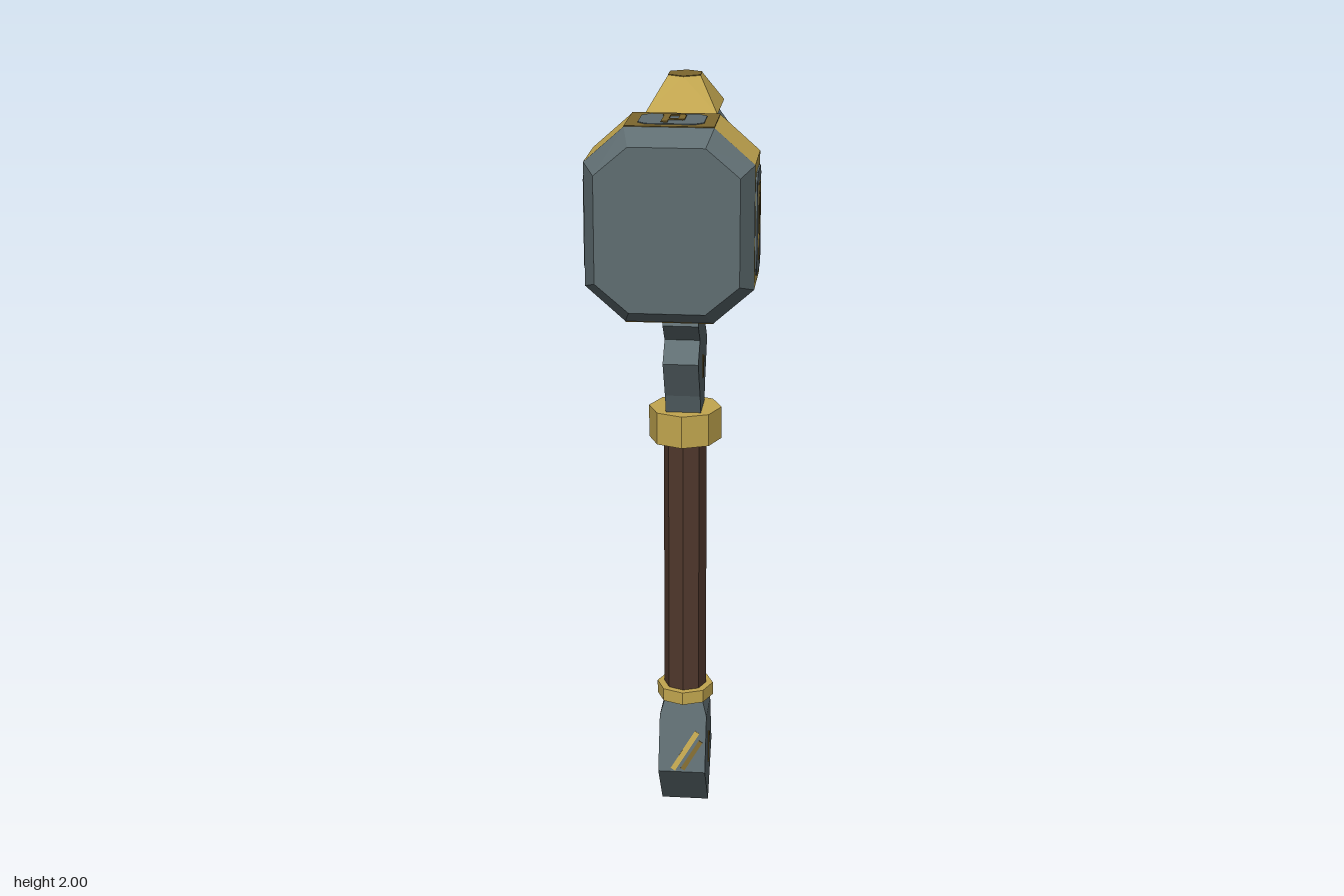
import * as THREE from 'three';
import { ConvexGeometry } from 'three/addons/geometries/ConvexGeometry.js';

const AXIS = -0.02; // z of the handle axis

export function createModel() {
  const mat = (name, color) => Object.assign(new THREE.MeshStandardMaterial({ color }), { name });
  const steel = mat('steel', 0x5f6d71);
  const gold = mat('gold', 0xc2a64f);
  const darkGold = mat('dark gold', 0x7d672f);
  const wood = mat('dark wood', 0x50382c);

  const model = new THREE.Group();
  model.name = 'warHammer';

  // Faceted mesh: every face keeps its own normal
  function add(name, geometry, material, parent = model) {
    const geo = geometry.index ? geometry.toNonIndexed() : geometry;
    geo.computeVertexNormals();
    const mesh = new THREE.Mesh(geo, material);
    mesh.name = name;
    parent.add(mesh);
    return mesh;
  }
  function box(name, w, h, d, x, y, z, material, parent) {
    const m = add(name, new THREE.BoxGeometry(w, h, d), material, parent);
    m.position.set(x, y, z);
    return m;
  }
  // Skin over equal rings (counter-clockwise seen from +z), listed front to back
  function loft(rings) {
    const n = rings[0].length, index = [];
    const last = (rings.length - 1) * n;
    for (let r = 0; r < rings.length - 1; r++) {
      for (let i = 0; i < n; i++) {
        const a = r * n + i, a2 = r * n + (i + 1) % n;
        index.push(a, a + n, a2, a2, a + n, a2 + n);
      }
    }
    for (let i = 1; i < n - 1; i++) {
      index.push(0, i, i + 1, last, last + i + 1, last + i);
    }
    const geo = new THREE.BufferGeometry();
    geo.setAttribute('position', new THREE.Float32BufferAttribute(rings.flat(2), 3));
    geo.setIndex(index);
    return geo;
  }
  // Side outline of [z, y] points given thickness along x
  function slab(points, width) {
    const shape = new THREE.Shape(points.map(([z, y]) => new THREE.Vector2(z, y)));
    const geo = new THREE.ExtrudeGeometry(shape, { depth: width, bevelEnabled: false });
    return geo.translate(0, 0, -width / 2).rotateY(-Math.PI / 2);
  }
  const convex = pts => new ConvexGeometry(pts.map(p => new THREE.Vector3(...p)));

  // Handle and its octagonal collars
  for (const [name, r, y0, y1, material] of [
    ['handle', 0.056, 0.34, 1.08, wood],
    ['lowerCollar', 0.075, 0.32, 0.355, gold],
    ['upperCollar', 0.094, 1.055, 1.14, gold],
  ]) {
    add(name, new THREE.CylinderGeometry(r, r, y1 - y0, 8), material)
      .position.set(0, (y0 + y1) / 2, AXIS);
  }

  // Wedge-shaped pommel
  const pommel = [];
  for (const [x, y, z] of [[0.05, 0.325, 0.045], [0.063, 0.28, 0.06], [0.063, 0.135, 0.105], [0.063, 0, 0]]) {
    for (const sx of [-1, 1]) for (const sz of [-1, 1]) pommel.push([sx * x, y, AXIS + sz * z]);
  }
  add('pommel', convex(pommel), steel);
  for (const turn of [0, Math.PI]) {
    const mark = new THREE.Group();
    mark.name = 'pommelMark';
    mark.position.set(0, 0, AXIS);
    mark.rotation.y = turn;
    const slope = new THREE.Group();
    slope.position.set(0.008, 0.19, 0.088);
    slope.rotation.x = -0.29;
    mark.add(slope);
    box('pommelStripe', 0.014, 0.12, 0.006, 0, 0, 0, gold, slope).rotation.z = -0.55;
    box('pommelStripeShade', 0.012, 0.09, 0.006, 0.018, -0.012, 0, darkGold, slope).rotation.z = -0.55;
    model.add(mark);
  }

  // Notched neck, mirrored about the handle axis
  const half = [[0.05, 1.13], [0.073, 1.19], [0.128, 1.29], [0.077, 1.34], [0.128, 1.39], [0.07, 1.48], [0.1, 1.58]];
  const outline = [
    ...half.map(([z, y]) => [AXIS + z, y]),
    ...half.map(([z, y]) => [AXIS - z, y]).reverse(),
  ];
  add('neck', slab(outline, 0.09), steel);

  // Head body and beak: [top w,y,z, middle w,y,z, bottom w,y,z]
  const sections = [
    [0.06, 1.83, 0.16, 0.075, 1.80, 0.16, 0.06, 1.59, 0.16],
    [0.07, 1.85, 0.10, 0.10, 1.815, 0.10, 0.085, 1.567, 0.10],
    [0.065, 1.92, 0.05, 0.14, 1.82, 0.035, 0.10, 1.565, 0.06],
    [0.065, 1.92, -0.085, 0.14, 1.82, -0.075, 0.10, 1.565, -0.10],
    [0.065, 1.85, -0.15, 0.10, 1.81, -0.15, 0.085, 1.567, -0.15],
    [0.045, 1.815, -0.26, 0.06, 1.79, -0.26, 0.05, 1.655, -0.26],
    [0.025, 1.755, -0.41, 0.025, 1.73, -0.402, 0.025, 1.64, -0.375],
  ].map(([tw, ty, tz, mw, my, mz, bw, by, bz]) => [
    [bw, by, bz], [mw, my, mz], [tw, ty, tz], [-tw, ty, tz], [-mw, my, mz], [-bw, by, bz],
  ]);
  add('headAndBeak', loft(sections), steel);
  add('beakTip', slab([[-0.408, 1.755], [-0.375, 1.638], [-0.41, 1.6], [-0.43, 1.68], [-0.415, 1.755]], 0.052), gold);

  // Crown cap: rectangular base rising to a small hexagon
  const capTop = [[0, -0.048], [0.04, -0.024], [0.04, 0.024], [0, 0.048], [-0.04, 0.024], [-0.04, -0.024]];
  const cap = capTop.map(([x, z]) => [x, 1.998, AXIS + z]);
  for (const sx of [-1, 1]) {
    for (const sz of [-1, 1]) {
      cap.push([sx * 0.088, 1.918, AXIS + sz * 0.104], [sx * 0.07, 1.9, AXIS + sz * 0.08]);
    }
  }
  add('crownCap', convex(cap), gold);
  add('crownTop', convex(capTop.flatMap(([x, z]) => [[x, 1.996, AXIS + z], [x, 2, AXIS + z]])), darkGold);

  // Hammer: octagonal rings with cut corners
  const ring = (w, h, cw, ch, z) => [
    [w, -ch], [w, ch], [cw, h], [-cw, h], [-w, ch], [-w, -ch], [-cw, -h], [cw, -h],
  ].map(([x, y]) => [x, 1.708 + y, z]);
  const bandFront = ring(0.2, 0.232, 0.105, 0.148, 0.37);
  const bandBack = ring(0.2, 0.232, 0.105, 0.148, 0.2);
  add('hammerFace', loft([ring(0.17, 0.196, 0.09, 0.128, 0.43), bandFront]), steel);
  add('hammerBand', loft([bandFront, bandBack]), gold);
  add('hammerBack', loft([bandBack, ring(0.075, 0.12, 0.05, 0.08, 0.155)]), steel);

  // Inlaid panels with an abstract carved mark on four sides of the band
  function panel(name, w, h, x, y, rx, ry, frameW) {
    const g = new THREE.Group();
    g.name = name;
    g.position.set(x, y, 0.285);
    g.rotation.set(rx, ry, 0);
    model.add(g);
    if (frameW) box('panelFrame', frameW, 0.17, 0.004, 0, 0, 0, darkGold, g);
    const c = 0.02, a = w / 2, b = h / 2;
    const shape = new THREE.Shape([
      [a - c, -b], [a, c - b], [a, b - c], [a - c, b], [c - a, b], [-a, b - c], [-a, c - b], [c - a, -b],
    ].map(p => new THREE.Vector2(...p)));
    add('panelInlay', new THREE.ExtrudeGeometry(shape, { depth: 0.004, bevelEnabled: false }), steel, g);
    for (const [mw, mh, mx, my] of [[0.1, 0.75, -0.1, 0], [0.1, 0.4, 0.14, 0.1], [0.34, 0.1, 0, 0.32], [0.3, 0.09, 0.02, -0.1]]) {
      box('panelMark', mw * w, mh * h, 0.003, mx * w, my * h, 0.005, darkGold, g);
    }
  }
  const q = Math.PI / 2;
  panel('leftPanel', 0.135, 0.245, 0.2, 1.708, 0, q);
  panel('rightPanel', 0.135, 0.245, -0.2, 1.708, 0, -q);
  panel('topPanel', 0.155, 0.125, 0, 1.94, -q, 0, 0.21);
  panel('bottomPanel', 0.155, 0.125, 0, 1.476, q, 0, 0.21);

  // Small carved marks on both flanks: [x, y, height, lean]
  for (const s of [-1, 1]) {
    for (const [x, y, h, lean] of [
      [0.124, 1.715, 0.07, 0.16], [0.045, 1.395, 0.035, 0], [0.045, 1.25, 0.06, 0], [0.063, 0.165, 0.09, 0],
    ]) {
      const mark = new THREE.Group();
      mark.name = 'flankMark';
      mark.position.set(s * x, y, AXIS);
      mark.rotation.z = -s * lean;
      box('markStem', 0.006, h, 0.01, 0, 0, 0.006, darkGold, mark);
      box('markArm', 0.006, h * 0.3, 0.018, 0, h * 0.25, -0.006, darkGold, mark);
      model.add(mark);
    }
  }
  return model;
}
